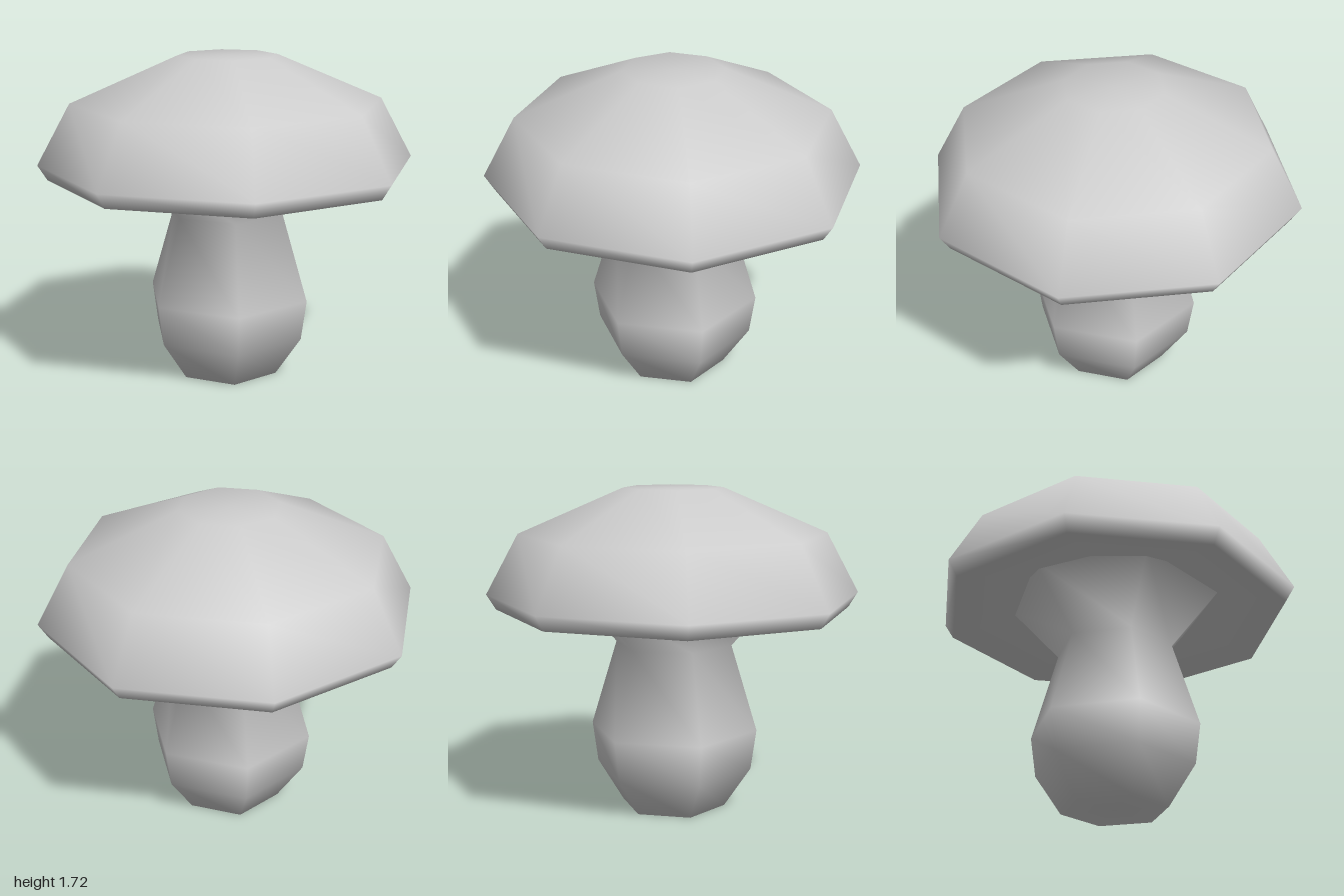
import * as THREE from 'three';

// Smooth low-poly solid of revolution; profile runs from bottom to top as [radius, height]
function turned(name, profile, sides, material) {
  const points = profile.map(([r, y]) => new THREE.Vector2(r, y));
  const mesh = new THREE.Mesh(new THREE.LatheGeometry(points, sides), material);
  mesh.name = name;
  return mesh;
}

export function createModel() {
  const group = new THREE.Group();
  group.name = 'mushroom';
  const grey = new THREE.MeshStandardMaterial({ color: 0xcccccc });
  grey.name = 'plain grey';

  // Six-sided stem: bulbous foot, narrow neck, flare running up into the cap
  group.add(turned('stem', [
    [0, 0], [0.283, 0], [0.425, 0.215], [0.455, 0.43], [0.315, 0.89], [0.59, 1.2],
  ], 6, grey));

  // Eight-sided cap with a hollow underside, a bevelled rim and a flat crown
  const cap = turned('cap', [
    [0, 1.22], [0.5, 1.2], [0.95, 1.08], [1, 1.16], [0.825, 1.48], [0.265, 1.72], [0, 1.72],
  ], 8, grey);
  cap.scale.z = 0.982;
  group.add(cap);

  return group;
}
